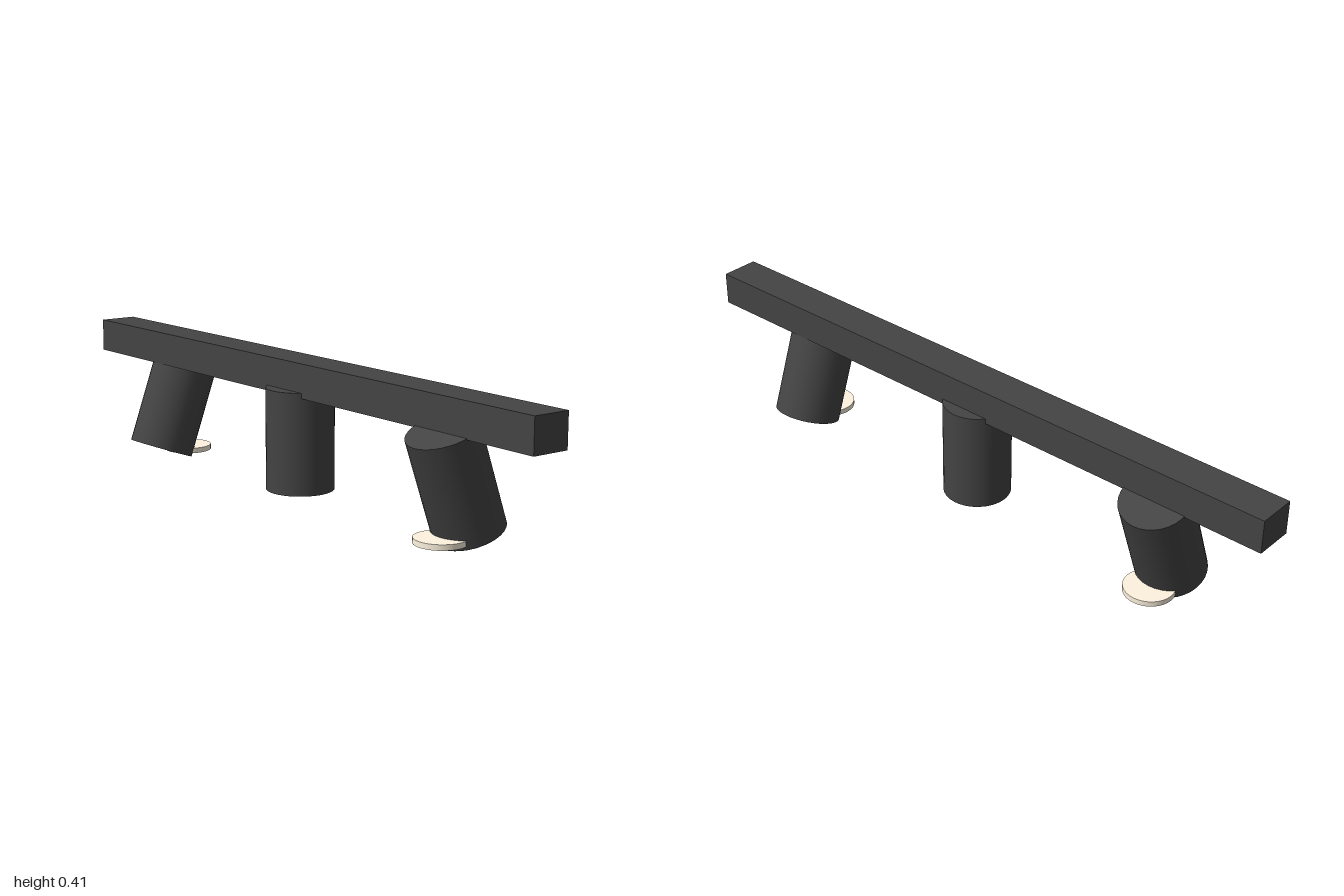
import * as THREE from 'three';

const TILT = THREE.MathUtils.degToRad(20);
const CENTRE_Y = 0.1755; // height of the lamp centres
const LENGTH = 0.3;

export function createModel() {
  const model = new THREE.Group();
  model.name = 'ceilingSpotlight';
  const dark = new THREE.MeshStandardMaterial({ color: 0x444444 });
  const warm = new THREE.MeshStandardMaterial({ color: 0xfff4e0 });

  function add(parent, name, geometry, material, x, y, z) {
    const mesh = new THREE.Mesh(geometry, material);
    mesh.name = name;
    mesh.position.set(x, y, z);
    parent.add(mesh);
    return mesh;
  }

  // Ceiling bar
  add(model, 'ceilingBar', new THREE.BoxGeometry(2, 0.1, 0.116), dark, 0, 0.36, 0);

  // Three lamps: outer two lean opposite ways, each with a level lens disc
  const shade = new THREE.CylinderGeometry(0.1, 0.1, LENGTH, 32);
  const lens = new THREE.CylinderGeometry(0.073, 0.073, 0.016, 32);
  [['rightLamp', -1], ['middleLamp', 0], ['leftLamp', 1]].forEach(([name, side]) => {
    const lamp = new THREE.Group();
    lamp.name = name;
    lamp.position.x = side * 0.666;
    model.add(lamp);
    const tilt = side * TILT;
    add(lamp, 'lampShade', shade, dark, 0, CENTRE_Y, 0).rotation.x = tilt;
    add(lamp, 'lens', lens, warm, 0, 0.027, (LENGTH / 2) * Math.sin(tilt));
  });

  return model;
}
